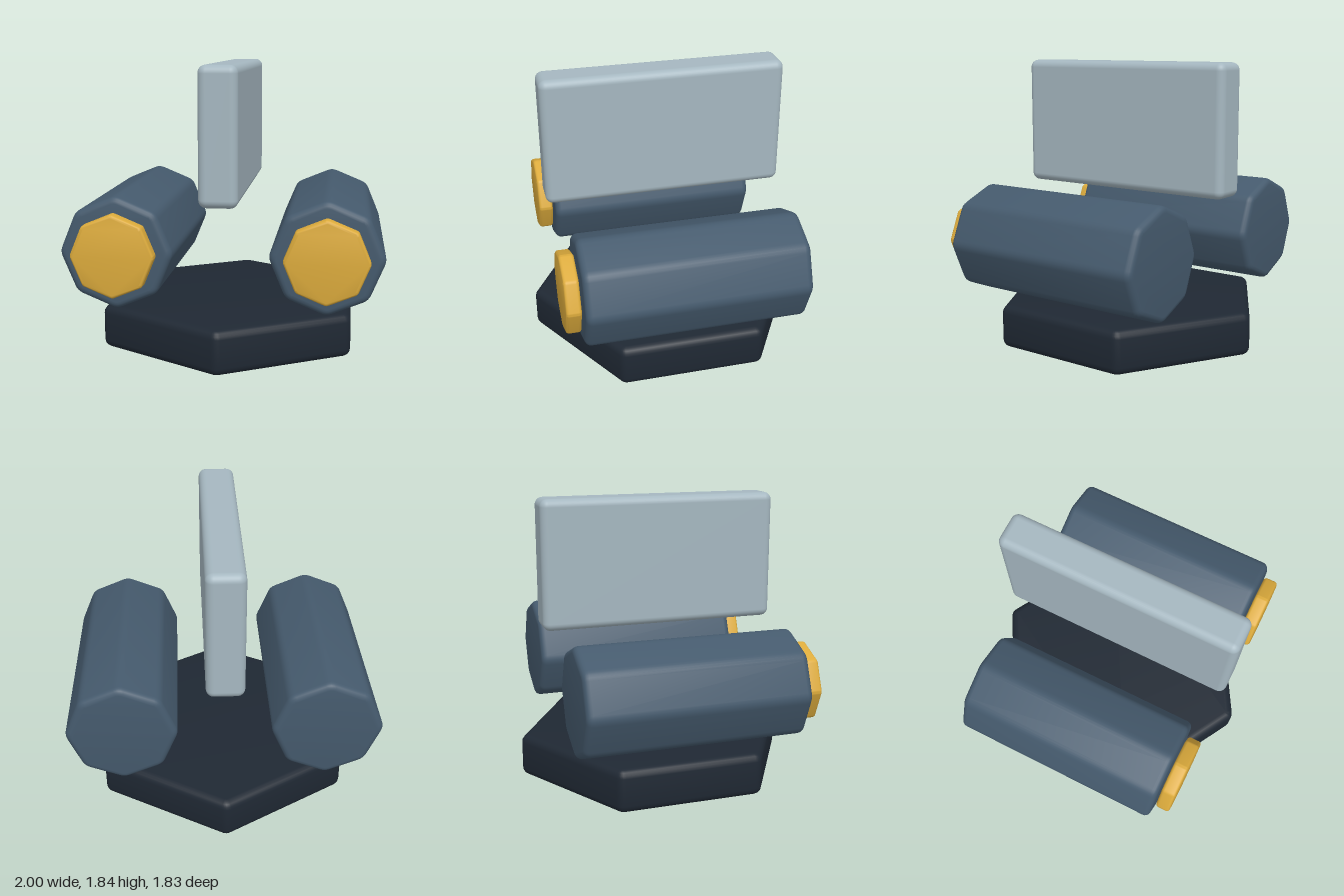
import * as THREE from 'three';
import { toCreasedNormals } from 'three/addons/utils/BufferGeometryUtils.js';
import { RoundedBoxGeometry } from 'three/addons/geometries/RoundedBoxGeometry.js';

// Regular prism along z, with rounded corners and softly bevelled ends, centred
function roundedPrism(sides, radius, length, cornerRadius, bevel) {
  const corner = (i) => {
    const a = Math.PI / 2 + (i * 2 * Math.PI) / sides;
    return new THREE.Vector2(Math.cos(a), Math.sin(a)).multiplyScalar(radius);
  };
  const cut = cornerRadius * Math.tan(Math.PI / sides);
  const t = cut / (2 * radius * Math.sin(Math.PI / sides));
  const shape = new THREE.Shape();
  for (let i = 0; i < sides; i++) {
    const c = corner(i);
    const start = c.clone().lerp(corner(i - 1), t);
    const end = c.clone().lerp(corner(i + 1), t);
    if (i === 0) shape.moveTo(start.x, start.y);
    else shape.lineTo(start.x, start.y);
    shape.quadraticCurveTo(c.x, c.y, end.x, end.y);
  }
  shape.closePath();
  const geometry = new THREE.ExtrudeGeometry(shape, {
    depth: length - 2 * bevel,
    bevelThickness: bevel,
    bevelSize: bevel,
    bevelOffset: -bevel,
    bevelSegments: 4,
    curveSegments: 4,
  });
  geometry.center();
  return toCreasedNormals(geometry, 0.6);
}

export function createModel() {
  const model = new THREE.Group();
  model.name = 'model';

  const material = (color) => new THREE.MeshStandardMaterial({ color });
  const dark = material(0x1f2833);
  const blue = material(0x455a6d);
  const gold = material(0xdcab3c);
  const pale = material(0xa5b7c0);

  const add = (name, geometry, mat, x, y, z) => {
    const mesh = new THREE.Mesh(geometry, mat);
    mesh.name = name;
    mesh.position.set(x, y, z);
    model.add(mesh);
    return mesh;
  };

  // Hexagonal base plate, pointing to front and back
  const base = roundedPrism(6, 0.922, 0.28, 0.06, 0.05);
  base.rotateX(-Math.PI / 2);
  add('base', base, dark, 0, 0.14, 0);

  // Pair of octagonal barrels with gold front caps
  const barrel = roundedPrism(8, 0.357, 1.41, 0.09, 0.04);
  const cap = roundedPrism(8, 0.262, 0.096, 0.035, 0.02);
  for (const [side, s] of [['left', 1], ['right', -1]]) {
    add(`${side}Barrel`, barrel, blue, s * 0.648, 0.69, 0);
    add(`${side}FrontCap`, cap, gold, s * 0.648, 0.69, 0.763);
  }

  // Upright fin on the centre line
  add('fin', new RoundedBoxGeometry(0.24, 0.845, 1.57, 4, 0.05), pale, 0, 1.42, 0.02);

  return model;
}
